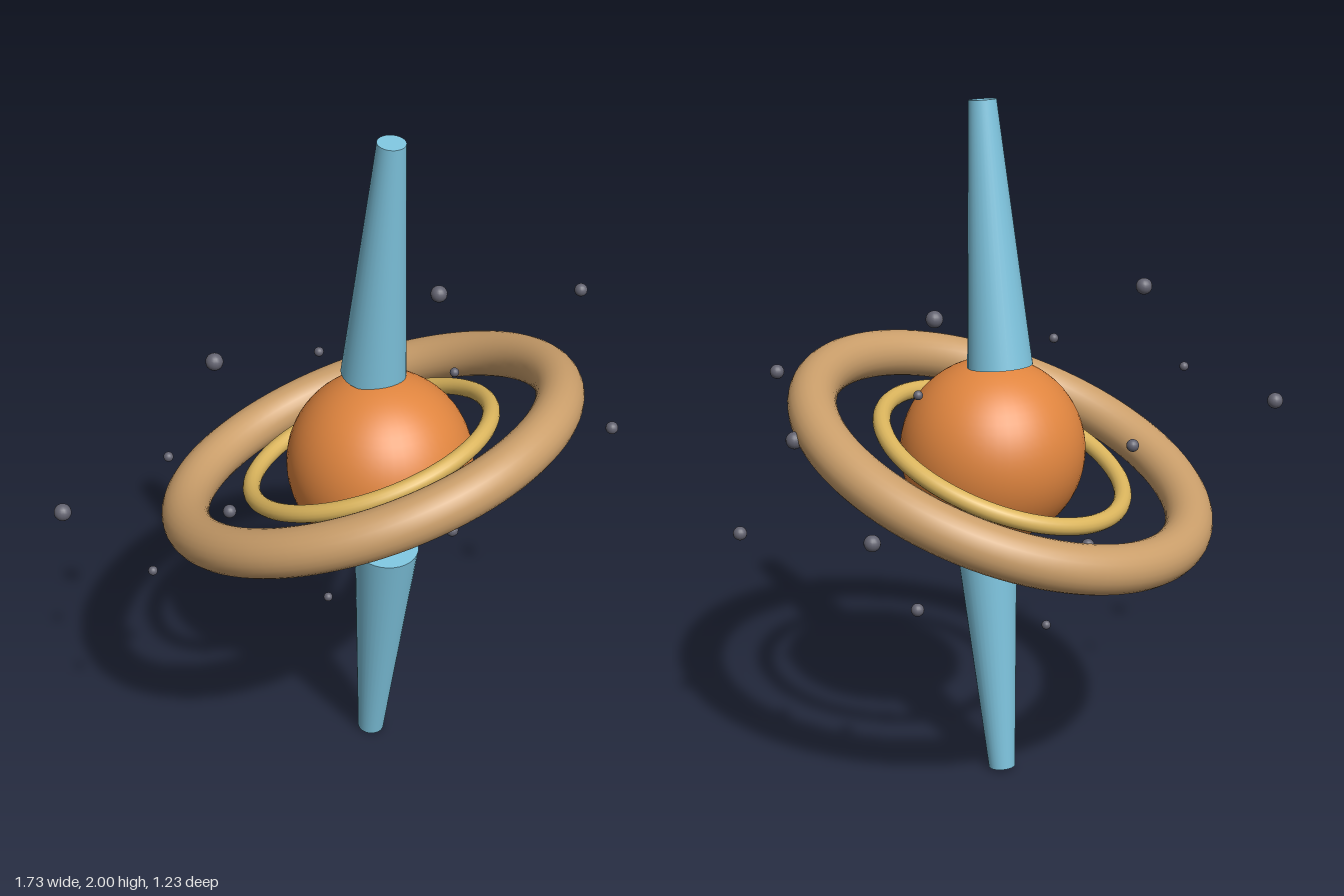
import * as THREE from 'three';

const makeMaterial = (name, color) => {
  const m = new THREE.MeshStandardMaterial({ color });
  m.name = name;
  return m;
};

export function createModel() {
  const model = new THREE.Group();
  model.name = 'ringedStarWithJets';

  const orange = makeMaterial('orange', 0xe0853f);
  const tan = makeMaterial('tan', 0xcb9f6b);
  const gold = makeMaterial('gold', 0xdbb55d);
  const blue = makeMaterial('blue', 0x7ec4de);
  const grey = makeMaterial('grey', 0x62626f);

  const add = (name, geometry, material, x, y, z, parent = model) => {
    const mesh = new THREE.Mesh(geometry, material);
    mesh.name = name;
    mesh.position.set(x, y, z);
    parent.add(mesh);
    return mesh;
  };

  // Central sphere
  add('core', new THREE.SphereGeometry(0.265, 48, 32), orange, 0.065, 1, 0.065);

  // Two concentric rings sharing one tilt, high towards +x and +z
  const rings = new THREE.Group();
  rings.name = 'rings';
  rings.position.set(0.065, 1.005, -0.003);
  rings.quaternion.setFromUnitVectors(
    new THREE.Vector3(0, 0, 1),
    new THREE.Vector3(-0.25, 0.935, -0.25).normalize()
  );
  model.add(rings);
  add('outerRing', new THREE.TorusGeometry(0.563, 0.068, 24, 96), tan, 0, 0, 0, rings);
  add('innerRing', new THREE.TorusGeometry(0.361, 0.025, 16, 96), gold, 0, 0, 0, rings);

  // Tapered jets, wide end towards the core, leaning the same way
  const jetTilt = 0.14;
  add('upperJet', new THREE.CylinderGeometry(0.039, 0.092, 0.737, 32), blue, 0.065, 1.628, 0.067)
    .rotation.x = jetTilt;
  add('lowerJet', new THREE.CylinderGeometry(0.092, 0.039, 0.737, 32), blue, 0.065, 0.373, 0.065)
    .rotation.x = jetTilt;

  // Scattered pebbles: x, y, z, radius
  const big = 0.024, medium = 0.019, small = 0.0135;
  const pebbles = [
    [0.678, 1.137, 0.025, big], [0.844, 0.897, 0.025, medium], [0.312, 1.21, 0.025, small],
    [0.284, 1.439, -0.03, big], [0.739, 1.357, -0.03, medium], [-0.08, 1.336, -0.03, small],
    [-0.415, 1.423, 0.053, big], [-0.387, 0.94, 0.053, medium], [-0.556, 1.161, 0.053, small],
    [-0.846, 1.026, 0, big], [-0.212, 0.675, 0, medium], [-0.602, 0.765, 0, small],
    [0.494, 0.833, -0.058, big], [0.362, 0.606, -0.058, medium], [-0.045, 0.476, -0.058, small],
  ];
  for (const [x, y, z, r] of pebbles) {
    add('pebble', new THREE.SphereGeometry(r, 16, 12), grey, x, y, z);
  }

  return model;
}
